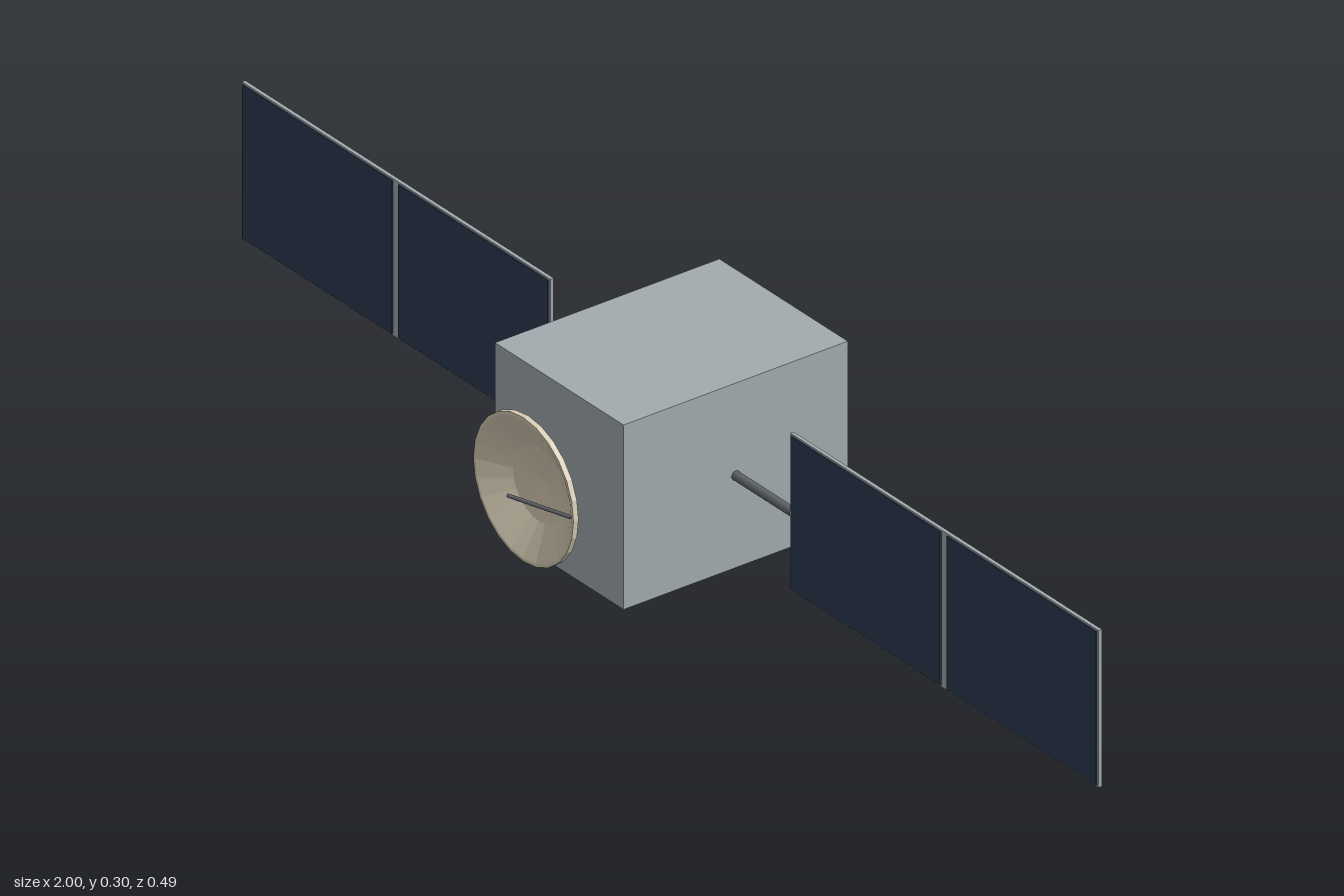
import * as THREE from 'three';

const material = (name, color, extra = {}) => {
  const m = new THREE.MeshStandardMaterial({ color, ...extra });
  m.name = name;
  return m;
};

export function createModel() {
  const hullGrey = material('hull grey', 0xa3abae);
  const cellBlue = material('solar cell blue', 0x2b3a50);
  const dishCream = material('dish cream', 0xd8cdb6, { flatShading: true });
  const rodGrey = material('rod grey', 0x60656a);

  const model = new THREE.Group();
  const midY = 0.15, wingZ = -0.047;

  const add = (parent, name, geometry, mat, x, y, z) => {
    const mesh = new THREE.Mesh(geometry, mat);
    mesh.name = name;
    mesh.position.set(x, y, z);
    parent.add(mesh);
    return mesh;
  };

  // Cylinder running between two points
  const addRod = (parent, name, a, b, radius) => {
    const dir = b.clone().sub(a);
    const mid = a.clone().add(b).multiplyScalar(0.5);
    const rod = add(parent, name, new THREE.CylinderGeometry(radius, radius, dir.length(), 12), rodGrey, mid.x, mid.y, mid.z);
    rod.quaternion.setFromUnitVectors(new THREE.Vector3(0, 1, 0), dir.normalize());
  };

  // Main body
  add(model, 'body', new THREE.BoxGeometry(0.3, 0.3, 0.4), hullGrey, 0, midY, -0.047);

  // Solar wings: boom, backing panel and two cell plates on the front
  for (const [side, label] of [[1, 'left'], [-1, 'right']]) {
    const wing = new THREE.Group();
    wing.name = label + 'Wing';
    model.add(wing);
    addRod(wing, 'boom', new THREE.Vector3(side * 0.14, midY, wingZ), new THREE.Vector3(side * 0.285, midY, wingZ), 0.0075);
    add(wing, 'panel', new THREE.BoxGeometry(0.72, 0.255, 0.006), hullGrey, side * 0.64, midY, wingZ - 0.001);
    for (const x of [0.458, 0.822]) {
      add(wing, 'solarCells', new THREE.BoxGeometry(0.349, 0.249, 0.002), cellBlue, side * x, midY, wingZ + 0.003);
    }
  }

  // Dish: straight cone behind, narrow rim, two-step bowl in front
  const profile = [[0, 0.154], [0.117, 0.208], [0.117, 0.217], [0.112, 0.217], [0.06, 0.19], [0, 0.178]]
    .map(([r, z]) => new THREE.Vector2(r, z));
  const dish = new THREE.LatheGeometry(profile, 24);
  dish.rotateX(Math.PI / 2);
  add(model, 'dish', dish, dishCream, 0, midY, 0);

  // Feed arm from the rim to the focus
  addRod(model, 'feedArm', new THREE.Vector3(0.105, midY, 0.212), new THREE.Vector3(0, midY, 0.245), 0.003);

  return model;
}
